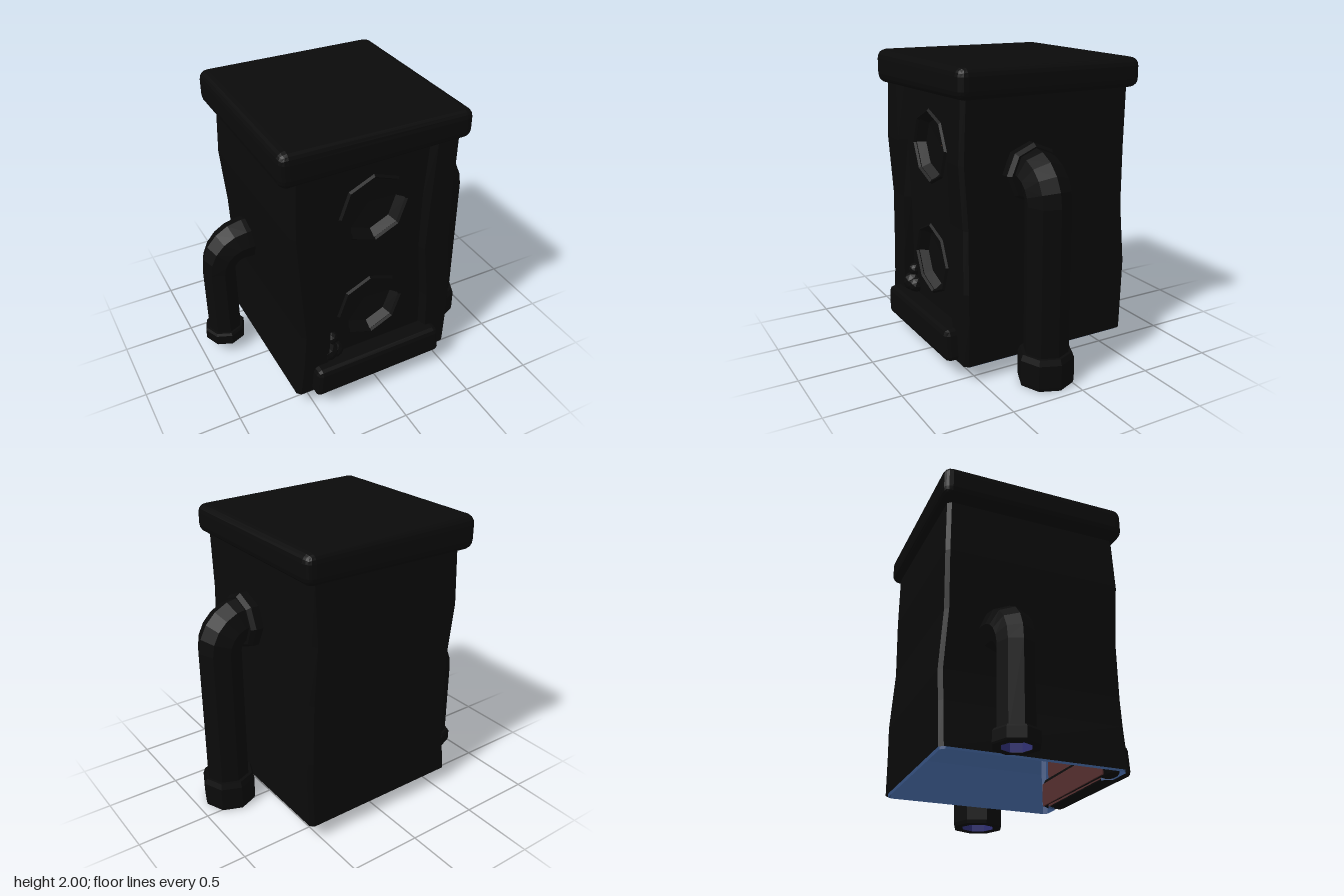
import * as THREE from 'three';
import { RoundedBoxGeometry } from 'three/addons/geometries/RoundedBoxGeometry.js';

const paint = (color) => new THREE.MeshStandardMaterial({ color, flatShading: true, side: THREE.DoubleSide });
const black = paint(0x0a0a0a), blue = paint(0x34507f), brown = paint(0x552e2e);
const orange = paint(0xd0743f), violet = paint(0x2c2c70);

// Body levels: y, left x, right x, back z, front z, panel left x, panel right x
const LEVELS = [
  [0.11, -0.61, 0.57, -0.63, 0.595, -0.40, 0.40],
  [0.40, -0.575, 0.58, -0.63, 0.595, -0.37, 0.39],
  [0.60, -0.56, 0.58, -0.635, 0.595, -0.36, 0.385],
  [1.00, -0.58, 0.555, -0.615, 0.58, -0.37, 0.35],
  [1.40, -0.61, 0.535, -0.63, 0.595, -0.40, 0.355],
  [1.80, -0.595, 0.55, -0.625, 0.585, -0.42, 0.385],
];
const PANEL_Z = 0.53;
const WINDOWS = [[-0.02, 1.415], [-0.03, 0.64]];

function add(parent, name, geometry, material, x = 0, y = 0, z = 0) {
  const mesh = new THREE.Mesh(geometry, material);
  mesh.name = name;
  mesh.position.set(x, y, z);
  parent.add(mesh);
  return mesh;
}

// Skin a list of equal-length cross-sections
function loft(rings, closed) {
  const n = rings[0].length, index = [];
  for (let i = 0; i < rings.length - 1; i++) {
    for (let j = 0; j < (closed ? n : n - 1); j++) {
      const a = i * n + j, b = i * n + (j + 1) % n;
      index.push(a, b, a + n, b, b + n, a + n);
    }
  }
  const g = new THREE.BufferGeometry();
  g.setAttribute('position', new THREE.Float32BufferAttribute(rings.flat(2), 3));
  g.setIndex(index);
  g.computeVertexNormals();
  return g;
}

// Wavy walls with chamfered corners, open across the front panel
function walls(inset) {
  return loft(LEVELS.map(([y0, l, r, b, f, pl, pr], i) => {
    const y = i === 0 ? y0 - inset * 0.7 : y0;
    const [L, R, B, F, c] = [l + inset, r - inset, b + inset, f - inset, 0.025];
    const z = PANEL_Z - inset;
    return [
      [pl + 0.02, y, z], [pl - inset, y, F], [L + c, y, F], [L, y, F - c],
      [L, y, B + c], [L + c, y, B], [R - c, y, B], [R, y, B + c],
      [R, y, F - c], [R - c, y, F], [pr + inset, y, F], [pr - 0.02, y, z],
    ];
  }), false);
}

function octagon(x, y, r) {
  return Array.from({ length: 8 }, (_, i) => {
    const a = i * Math.PI / 4 + 0.04;
    return new THREE.Vector2(x + r * Math.cos(a), y + r * Math.sin(a));
  });
}

// Recessed front panel with two octagonal openings
function panel() {
  const left = LEVELS.map((v) => new THREE.Vector2(v[5] + 0.02, v[0]));
  const right = LEVELS.map((v) => new THREE.Vector2(v[6] - 0.02, v[0]));
  const shape = new THREE.Shape([...right, ...left.reverse()]);
  for (const [x, y] of WINDOWS) shape.holes.push(new THREE.Path(octagon(x, y, 0.235)));
  return new THREE.ShapeGeometry(shape);
}

// Shallow dish closing an opening
function dish() {
  return loft([[0.235, 0], [0.19, -0.06], [0.001, -0.08]].map(([r, z]) =>
    octagon(0, 0, r).map((p) => [p.x, p.y, z])), true);
}

// Eight-sided elbow pipe: horizontal out of the wall, then straight down
function elbow(x0, x1, yTop, yEnd, bend, rIn, rOut) {
  const s = Math.sign(x1);
  const stations = [[x0, yTop, 0, rIn]];
  for (let i = 0; i <= 5; i++) {
    const a = i / 5 * Math.PI / 2;
    stations.push([x1 - s * bend * (1 - Math.sin(a)), yTop - bend * (1 - Math.cos(a)), a,
      THREE.MathUtils.lerp(rIn, rOut, i / 5)]);
  }
  stations.push([x1, yEnd, Math.PI / 2, rOut]);
  return loft(stations.map(([x, y, a, r]) => Array.from({ length: 8 }, (_, k) => {
    const t = k * Math.PI / 4, u = r * Math.cos(t);
    return [x + s * u * Math.sin(a), y + u * Math.cos(a), r * Math.sin(t)];
  })), true);
}

// Hollow collar at the pipe mouth
function collar(r, h, rPipe) {
  const profile = [[rPipe * 0.8, h * 0.6], [rPipe * 0.8, 0], [r * 0.97, 0], [r, h * 0.12],
    [r, h * 0.82], [r * 0.92, h], [rPipe * 0.95, h]];
  return new THREE.LatheGeometry(profile.map(([a, b]) => new THREE.Vector2(a, b)), 8);
}

function mouth(parent, name, x, y, z, r, h, rPipe) {
  add(parent, name + 'Collar', collar(r, h, rPipe), black, x, y, z);
  const lining = new THREE.CylinderGeometry(rPipe * 0.78, rPipe * 0.78, h * 0.6, 8, 1, true);
  add(parent, name + 'Lining', lining, violet, x, y + h * 0.31, z);
  const plug = new THREE.CircleGeometry(rPipe * 0.79, 8).rotateX(Math.PI / 2);
  add(parent, name + 'Plug', plug, black, x, y + h * 0.6, z);
}

export function createModel() {
  const model = new THREE.Group();
  model.name = 'pipedCabinet';

  // Cabinet shell and its coloured lining, open underneath
  add(model, 'outerWalls', walls(0), black);
  add(model, 'innerWalls', walls(0.014), blue);
  add(model, 'frontPanel', panel(), black, 0, 0, PANEL_Z);
  add(model, 'panelLining', panel(), brown, 0, 0, PANEL_Z - 0.014);

  // Octagonal windows
  for (const [x, y] of WINDOWS) {
    const win = new THREE.Group();
    win.name = 'window';
    win.position.set(x, y, PANEL_Z);
    add(win, 'windowRim', new THREE.TorusGeometry(0.235, 0.014, 4, 8).rotateZ(0.04), black);
    add(win, 'windowDish', dish(), black);
    add(win, 'windowLining', dish(), orange, 0, 0, -0.014);
    add(win, 'hubRing', new THREE.TorusGeometry(0.08, 0.022, 4, 6), black, 0, 0, -0.1);
    add(win, 'hub', new THREE.CircleGeometry(0.075, 6), violet, 0, 0, -0.105);
    model.add(win);
  }

  // Cap slab, slightly thicker on one side
  const cap = new RoundedBoxGeometry(1.29, 0.212, 1.31, 2, 0.06);
  const p = cap.attributes.position;
  for (let i = 0; i < p.count; i++) {
    const x = p.getX(i) - 0.035;
    p.setY(i, p.getY(i) / 0.106 * (0.106 - 0.0155 * x) + 0.004 * x);
  }
  cap.computeVertexNormals();
  add(model, 'cap', cap, black, -0.035, 1.887, -0.025);

  // Sill along the foot of the panel, narrower at the top
  const sill = new RoundedBoxGeometry(0.98, 0.21, 0.17, 1, 0.035);
  const q = sill.attributes.position;
  for (let i = 0; i < q.count; i++) {
    q.setX(i, q.getX(i) * (1 - 0.2 * (q.getY(i) + 0.105)));
    q.setY(i, q.getY(i) + 0.008 * q.getX(i));
  }
  sill.computeVertexNormals();
  add(model, 'sill', sill, black, -0.015, 0.217, 0.59);
  add(model, 'sillLining', new THREE.BoxGeometry(0.86, 0.16, 0.01), brown, -0.01, 0.2, 0.495);

  // Pebbles resting on the sill
  for (const [x, y, r] of [[-0.35, 0.37, 0.075], [-0.3, 0.36, 0.06], [-0.32, 0.47, 0.045]]) {
    add(model, 'pebble', new THREE.IcosahedronGeometry(r, 1), black, x, y, 0.535);
  }

  // Tall pipe with wall flange
  add(model, 'tallPipe', elbow(0.5, 0.76, 1.335, 0.15, 0.17, 0.15, 0.146), black, 0, 0, 0.12);
  const flange = new THREE.LatheGeometry([[0.14, 0.09], [0.17, 0.09], [0.19, 0.06], [0.19, 0]]
    .map(([a, b]) => new THREE.Vector2(a, b)), 8).rotateZ(-Math.PI / 2);
  add(model, 'tallPipeFlange', flange, black, 0.53, 1.32, 0.12);
  mouth(model, 'tallPipe', 0.757, 0, 0.12, 0.184, 0.21, 0.15);

  // Short pipe on the other side
  add(model, 'shortPipe', elbow(-0.54, -0.803, 0.895, 0.13, 0.19, 0.145, 0.119), black, 0, 0, -0.25);
  mouth(model, 'shortPipe', -0.805, 0.085, -0.25, 0.147, 0.095, 0.12);

  return model;
}
